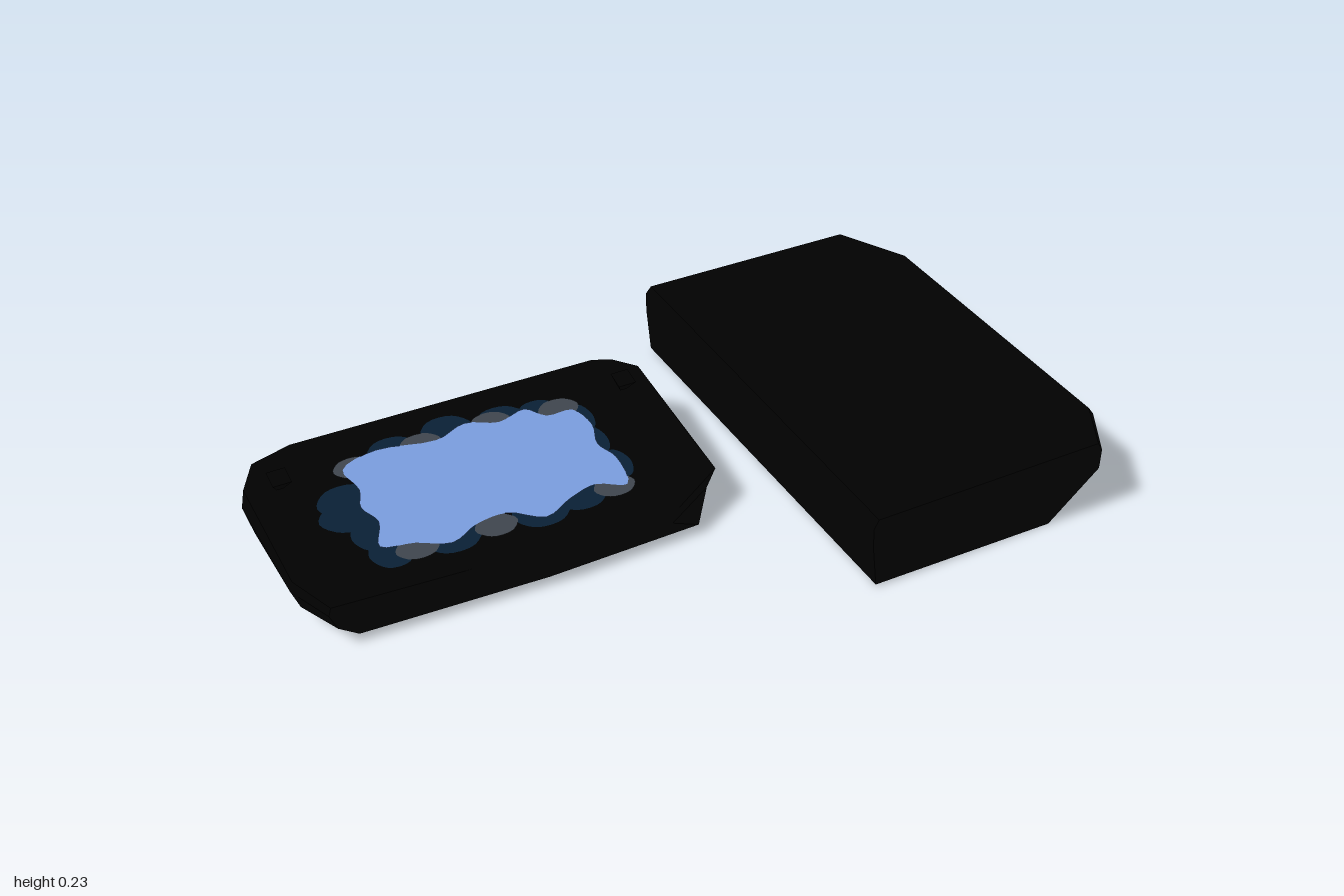
import * as THREE from 'three';
import { toCreasedNormals } from 'three/addons/utils/BufferGeometryUtils.js';

const paint = (name, color) => {
  const m = new THREE.MeshStandardMaterial({ color });
  m.name = name;
  return m;
};

// Closed solid through rings of equal length, listed from bottom to top
function loft(rings) {
  const n = rings[0].length, pos = [], idx = [];
  rings.forEach(r => r.forEach(p => pos.push(...p)));
  for (let k = 0; k < rings.length - 1; k++) {
    for (let i = 0; i < n; i++) {
      const a = k * n + i, b = k * n + (i + 1) % n;
      idx.push(a, b, b + n, a, b + n, a + n);
    }
  }
  const last = (rings.length - 1) * n;
  for (let i = 1; i < n - 1; i++) {
    idx.push(0, i + 1, i);
    idx.push(last, last + i, last + i + 1);
  }
  const g = new THREE.BufferGeometry();
  g.setAttribute('position', new THREE.Float32BufferAttribute(pos, 3));
  g.setIndex(idx);
  return toCreasedNormals(g, 0.7);
}

// Outline [x, z] scaled about a centre and lifted to height(x, z)
const ring = (outline, cx, cz, sx, sz, height) => outline.map(([x, z]) => {
  const X = cx + (x - cx) * sx, Z = cz + (z - cz) * sz;
  return [X, height(X, Z), Z];
});

// Thin rounded patch lying on a sloping surface, facing up or down
function patch(points, height, down = false) {
  const loop = points.map(([x, z]) => new THREE.Vector3(x, -z, 0));
  const curve = new THREE.CatmullRomCurve3(loop, true);
  const shape = new THREE.Shape(curve.getPoints(points.length * 4).slice(0, -1)
    .map(p => new THREE.Vector2(p.x, p.y)));
  const g = new THREE.ShapeGeometry(shape);
  g.rotateX(-Math.PI / 2);
  const p = g.attributes.position;
  for (let i = 0; i < p.count; i++) p.setY(i, height(p.getX(i), p.getZ(i)));
  if (down) g.setIndex([...g.index.array].reverse());
  g.computeVertexNormals();
  return g;
}

const blob = (x, z, rx, rz, n = 6) => Array.from({ length: n }, (_, i) => {
  const a = i / n * Math.PI * 2;
  return [x + Math.cos(a) * rx, z + Math.sin(a) * rz];
});

export function createModel() {
  const model = new THREE.Group();
  const black = paint('black casing', 0x010101);
  const blue = paint('screen blue', 0x7c9fe2);
  const navy = paint('navy edge', 0x0a2136);
  const slate = paint('slate edge', 0x40474f);
  const grey = paint('grey marks', 0xa6a6a6);
  const add = (name, geometry, material, parent = model) => {
    const mesh = new THREE.Mesh(geometry, material);
    mesh.name = name;
    parent.add(mesh);
    return mesh;
  };

  // Handheld casing, sloping down to the front with a raised back rim
  const handheld = new THREE.Group();
  handheld.name = 'handheld';
  model.add(handheld);
  const outline = [[-0.95, 0.185], [-0.4, 0.21], [-0.05, 0.2], [0.1, 0.11], [0.1, -0.29],
    [0.05, -0.34], [0, -0.36], [-0.84, -0.36], [-0.95, -0.33], [-1, -0.25], [-1, 0.07]];
  const foot = [[-0.88, 0.18], [-0.4, 0.2], [0.01, 0.19], [0.05, 0.06], [0.04, -0.22],
    [0.02, -0.27], [-0.03, -0.29], [-0.8, -0.29], [-0.88, -0.285], [-0.91, -0.25], [-0.9, 0.05]];
  const topY = (x, z) => 0.152 - 0.12 * z - 0.012 * (x + 0.45);
  const layer = (sx, sz, h) => ring(outline, -0.45, -0.075, sx, sz, h);
  add('handheldCase', loft([
    ring(foot, 0, 0, 1, 1, () => 0.024),
    layer(0.96, 0.985, () => 0.06),
    layer(1, 1, (x, z) => 0.122 - 0.08 * z),
    layer(0.985, 0.985, (x, z) => topY(x, z) + (z < 0 ? 0.006 : -0.01)),
    layer(0.91, 0.92, topY),
  ]), black, handheld);

  // Uneven screen inside an edge of dark navy and slate blobs
  const above = d => (x, z) => topY(x, z) + d;
  [[-0.61, -0.235, 0.07], [-0.46, -0.255, 0.07], [-0.32, -0.235, 0.07], [-0.22, -0.22, 0.06],
    [-0.75, 0.08, 0.055], [-0.6, 0.09, 0.075], [-0.37, 0.095, 0.075], [-0.26, 0.08, 0.07],
    [-0.13, 0.02, 0.04], [-0.14, -0.08, 0.035], [-0.135, -0.17, 0.035], [-0.77, 0.01, 0.05],
    [-0.78, -0.12, 0.075], [-0.79, -0.07, 0.08]].forEach(([x, z, rx]) =>
    add('navyEdge', patch(blob(x, z, rx, 0.055), above(0.002)), navy, handheld));
  [[-0.72, -0.22], [-0.54, -0.235], [-0.35, -0.24], [-0.17, -0.22], [-0.69, 0.095],
    [-0.49, 0.1], [-0.17, 0.09]].forEach(([x, z]) =>
    add('slateEdge', patch(blob(x, z, 0.055, 0.037), above(0.004)), slate, handheld));
  add('screen', patch([[-0.75, -0.22], [-0.65, -0.255], [-0.5, -0.23], [-0.41, -0.26],
    [-0.33, -0.23], [-0.25, -0.25], [-0.21, -0.205], [-0.14, -0.2], [-0.12, -0.13],
    [-0.14, -0.06], [-0.12, 0], [-0.14, 0.1], [-0.21, 0.07], [-0.29, 0.09],
    [-0.37, 0.125], [-0.45, 0.075], [-0.53, 0.08], [-0.61, 0.115], [-0.69, 0.08],
    [-0.77, 0.06], [-0.74, -0.02], [-0.76, -0.08], [-0.74, -0.14]], above(0.006)), blue, handheld);

  // Small flared knobs at the back corners
  [[-0.912, 0.212], [0.01, 0.203]].forEach(([x, y]) => {
    const knob = add('knob', toCreasedNormals(
      new THREE.CylinderGeometry(0.034, 0.012, 0.035, 4).rotateY(Math.PI / 4), 0.3), black, handheld);
    knob.position.set(x, y, -0.215);
    knob.rotation.x = 0.25;
  });

  // Marks under the handheld
  const under = () => 0.021;
  add('underMark', patch(blob(-0.38, -0.2, 0.11, 0.025), under, true), grey, handheld);
  add('underMark', patch(blob(-0.415, 0.06, 0.09, 0.04), under, true), grey, handheld);

  // Separate console box, its outer corners cut away underneath
  const box = new THREE.Group();
  box.name = 'console';
  model.add(box);
  const plan = [[0.26, 0.58], [0.925, 0.575], [1, 0.44], [1, -0.4], [0.9, -0.585], [0.275, -0.59]];
  const base = [[0.28, 0.575], [0.79, 0.57], [0.965, 0.04], [0.965, -0.22], [0.79, -0.58], [0.285, -0.58]];
  const boxLayer = (sx, sz, h) => ring(plan, 0.63, 0, sx, sz, h);
  const floorY = (x, z) => 0.006 - 0.012 * (x - 0.63) - 0.004 * z;
  add('consoleCase', loft([
    ring(base, 0, 0, 1, 1, floorY),
    boxLayer(0.995, 1, () => 0.13),
    boxLayer(1, 1, () => 0.185),
    boxLayer(0.96, 0.995, () => 0.206),
  ]), black, box);
  const underBox = (x, z) => floorY(x, z) - 0.002;
  add('underMark', patch(blob(0.65, -0.51, 0.065, 0.045), underBox, true), grey, box);
  add('underMark', patch(blob(0.61, -0.36, 0.035, 0.03), underBox, true), grey, box);

  return model;
}
